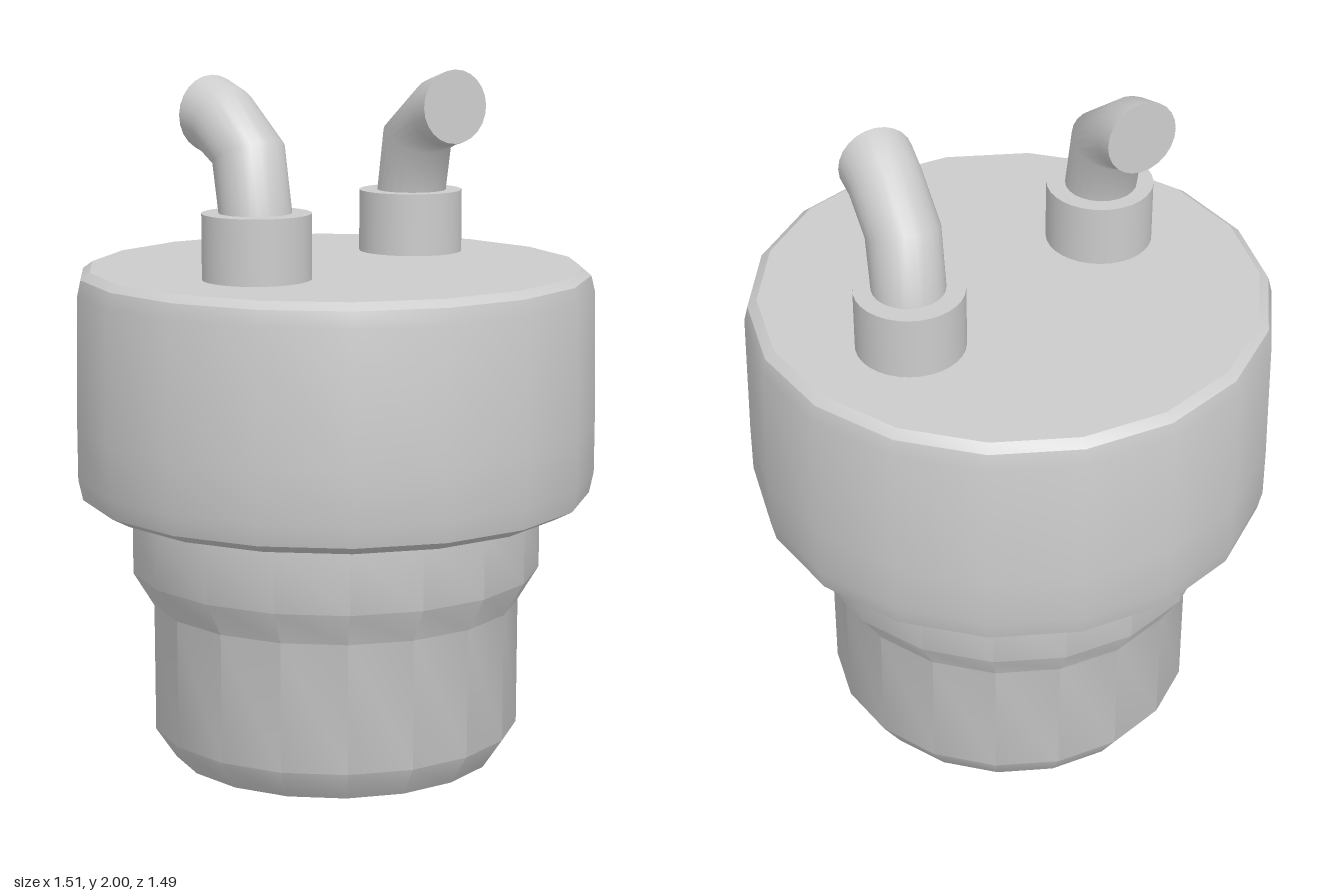
import * as THREE from 'three';
import { toCreasedNormals } from 'three/addons/utils/BufferGeometryUtils.js';

const material = new THREE.MeshStandardMaterial({ color: 0xcccccc });
const SIDES = 18;

function addMesh(parent, name, geometry) {
  const mesh = new THREE.Mesh(geometry, material);
  mesh.name = name;
  parent.add(mesh);
  return mesh;
}

// Eighteen-sided turned part with a corner on the x axis
function turned(profile) {
  const points = profile.map(([r, y]) => new THREE.Vector2(r, y));
  const lathe = new THREE.LatheGeometry(points, SIDES, Math.PI / 2);
  return toCreasedNormals(lathe, 0.6);
}

// Bent pipe swept towards +z; each ring is [z, y, radius, tilt in degrees]
function bentPipe(rings, sides = 24) {
  const positions = [];
  const index = [];
  const addRing = ([z, y, r, degrees]) => {
    const tilt = THREE.MathUtils.degToRad(degrees);
    for (let i = 0; i < sides; i++) {
      const a = (i / sides) * Math.PI * 2;
      const up = r * Math.cos(a);
      positions.push(r * Math.sin(a), y + up * Math.sin(tilt), z - up * Math.cos(tilt));
    }
  };
  rings.forEach(addRing);
  for (let j = 0; j < rings.length - 1; j++) {
    for (let i = 0; i < sides; i++) {
      const a = j * sides + i;
      const b = j * sides + ((i + 1) % sides);
      index.push(a, a + sides, b, b, a + sides, b + sides);
    }
  }
  // Flat end cap with its own corners
  const last = rings[rings.length - 1];
  const start = rings.length * sides;
  addRing(last);
  positions.push(0, last[1], last[0]);
  for (let i = 0; i < sides; i++) {
    index.push(start + sides, start + ((i + 1) % sides), start + i);
  }
  const geometry = new THREE.BufferGeometry();
  geometry.setAttribute('position', new THREE.Float32BufferAttribute(positions, 3));
  geometry.setIndex(index);
  geometry.computeVertexNormals();
  return geometry;
}

// Collar on the lid with a pipe turning towards (dx, dz)
function createPort(name, x, dx, dz) {
  const port = new THREE.Group();
  port.name = name;
  port.position.x = x;

  const collar = addMesh(port, 'collar', new THREE.CylinderGeometry(0.153, 0.153, 0.2, 32));
  collar.position.y = 1.53;

  const reach = Math.hypot(dx, dz);
  const pipe = addMesh(port, 'pipe', bentPipe([
    [0, 1.6, 0.102, 0],
    [0.037, 1.79, 0.103, 24],
    [reach * 0.7, 1.87, 0.103, 70],
    [reach, 1.89, 0.107, 88],
  ]));
  pipe.rotation.y = Math.atan2(dx, dz);
  return port;
}

export function createModel() {
  const model = new THREE.Group();
  model.name = 'canister';

  // Stepped lower body with a chamfered foot
  addMesh(model, 'lowerBody', turned([
    [0, 0], [0.48, 0], [0.54, 0.09], [0.54, 0.465], [0.6, 0.565], [0.6, 0.75],
  ]));

  // Wide upper drum with softened rims
  addMesh(model, 'upperDrum', turned([
    [0, 0.74], [0.595, 0.74], [0.69, 0.762], [0.742, 0.79], [0.755, 0.85],
    [0.755, 1.0], [0.748, 1.38], [0.737, 1.425], [0.71, 1.445], [0, 1.45],
  ]));

  model.add(createPort('rightPort', -0.365, 0.065, -0.21));
  model.add(createPort('leftPort', 0.385, -0.095, 0.22));
  return model;
}
